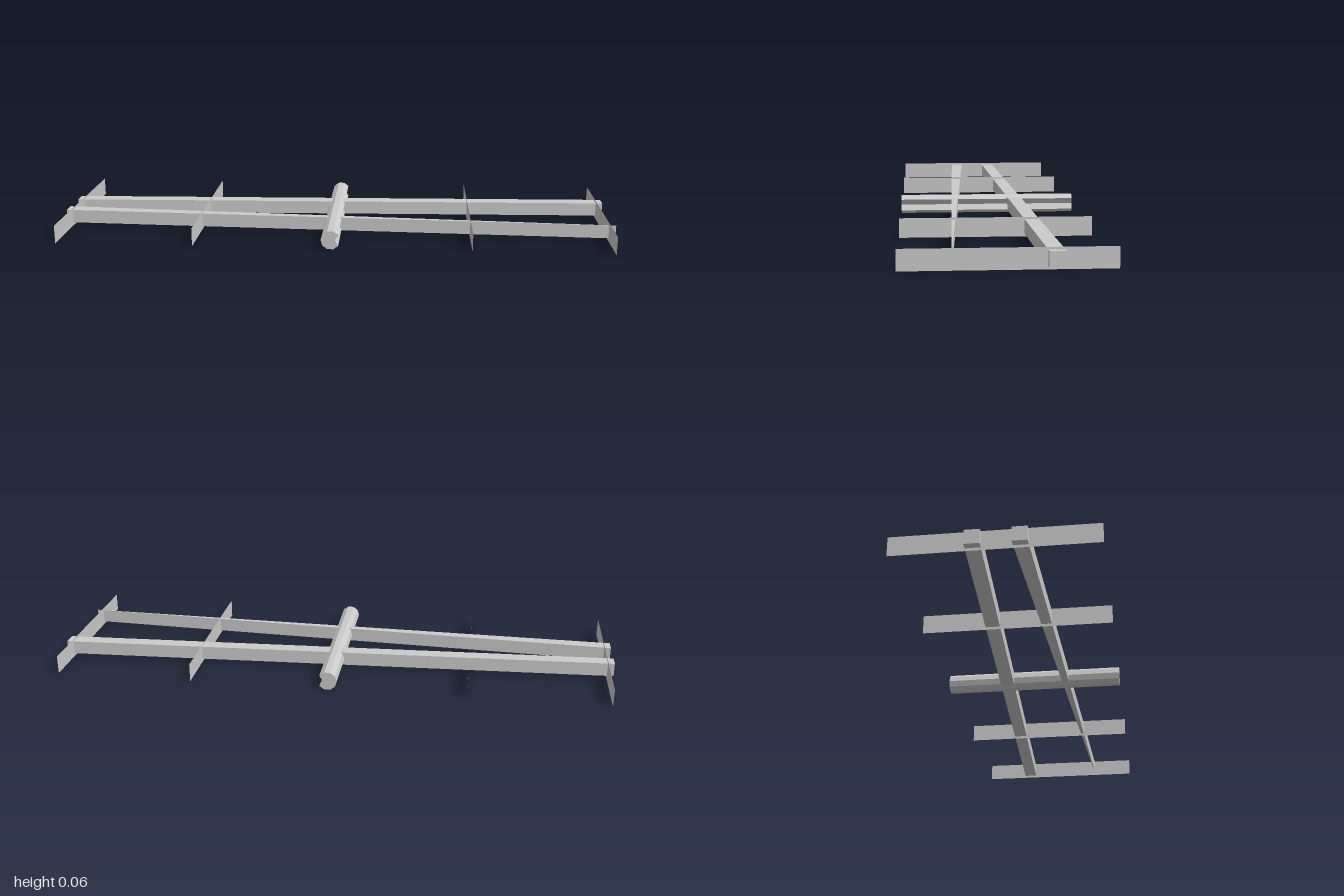
import * as THREE from 'three';

const HALF_DEPTH = 0.318;
const HEIGHT = 0.065;

export function createModel() {
  const model = new THREE.Group();
  const solid = new THREE.MeshStandardMaterial({ color: 0xcccccc, flatShading: true });
  const sheet = new THREE.MeshStandardMaterial({ color: 0xcccccc, side: THREE.DoubleSide });

  const add = (name, geometry, material = solid) => {
    const mesh = new THREE.Mesh(geometry, material);
    mesh.name = name;
    model.add(mesh);
    return mesh;
  };

  // Spar: a box whose back and front edges run straight from one tip to the other
  const spar = (name, [rightBack, rightFront], [leftBack, leftFront]) => {
    const geometry = new THREE.BoxGeometry(2, 0.048, 1);
    const p = geometry.attributes.position;
    for (let i = 0; i < p.count; i++) {
      const back = p.getZ(i) < 0;
      const atLeft = p.getX(i) > 0;
      p.setZ(i, atLeft ? (back ? leftBack : leftFront) : (back ? rightBack : rightFront));
    }
    geometry.computeVertexNormals();
    geometry.translate(0, 0.0335, 0);
    add(name, geometry);
  };
  spar('backSpar', [-0.086, -0.038], [-0.162, -0.113]);
  spar('frontSpar', [0.054, 0.101], [0.1615, 0.162]); // tapers to a thin edge

  // Central tube: faceted round bar with a V groove along its +x side
  const profile = new THREE.Shape();
  profile.moveTo(0.013, 0);
  for (let i = 1; i <= 9; i++) {
    const a = (i * Math.PI) / 5;
    profile.lineTo(-0.003 + 0.034 * Math.cos(a), 0.034 * Math.sin(a));
  }
  profile.closePath();
  const tube = new THREE.ExtrudeGeometry(profile, { depth: 2 * HALF_DEPTH, bevelEnabled: false });
  tube.translate(0, HEIGHT / 2, -HALF_DEPTH);
  add('centreTube', tube);

  // Ribs: thin upright sheets crossing both spars
  for (const x of [-0.976, -0.488, 0.488, 0.976]) {
    const rib = add('rib', new THREE.PlaneGeometry(2 * HALF_DEPTH, HEIGHT), sheet);
    rib.rotation.y = Math.PI / 2;
    rib.position.set(x, HEIGHT / 2, 0);
  }

  return model;
}
